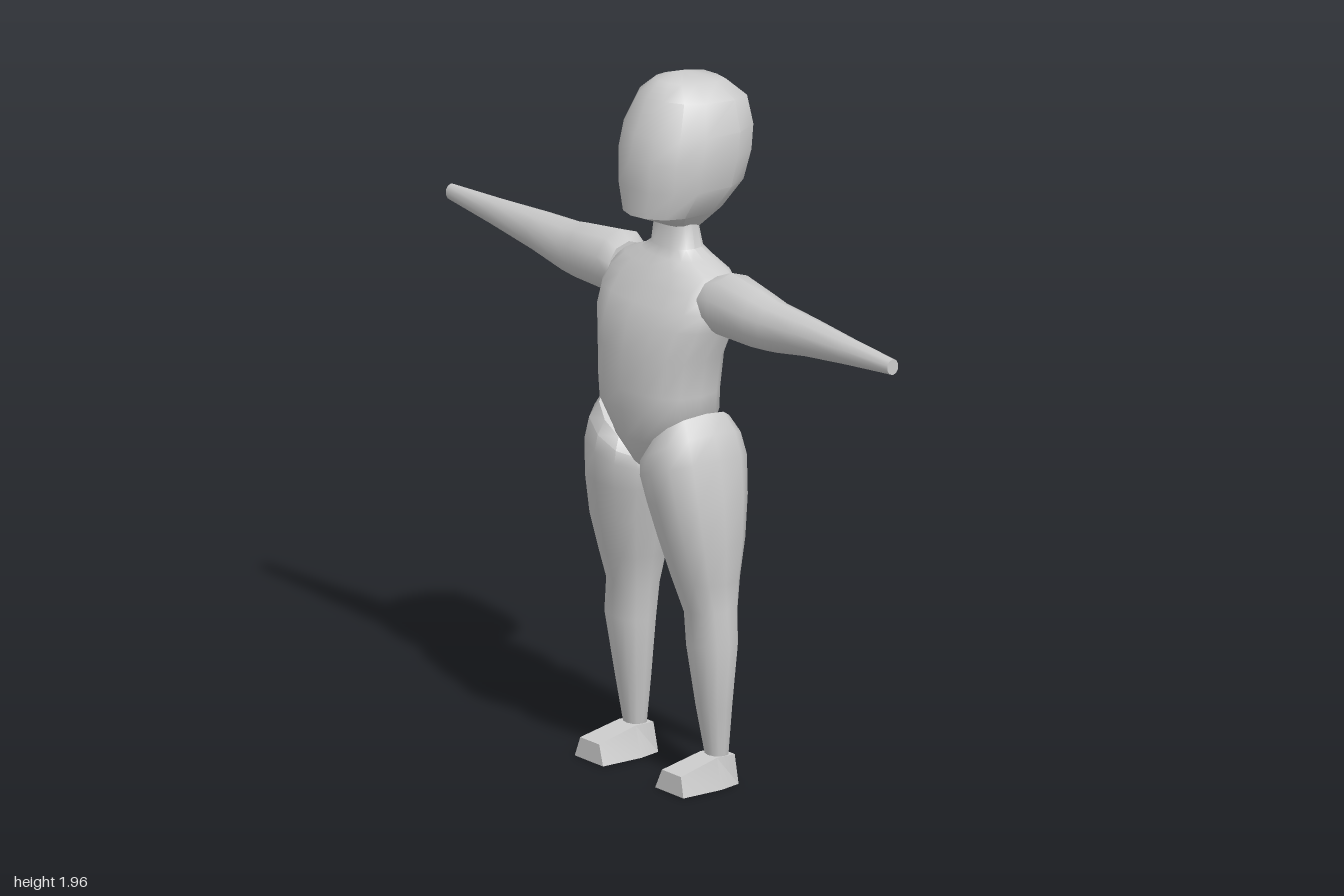
import * as THREE from 'three';
import { toCreasedNormals } from 'three/addons/utils/BufferGeometryUtils.js';

const skin = new THREE.MeshStandardMaterial({ color: 0xcccccc });
skin.name = 'plain grey';

// Skin a stack of closed rings and cap both ends.
function loft(rings, crease = 0.7) {
  const pos = [], idx = [], n = rings[0].length;
  rings.forEach(r => r.forEach(p => pos.push(...p)));
  for (let k = 0; k < rings.length - 1; k++) {
    for (let i = 0; i < n; i++) {
      const a = k * n + i, b = k * n + (i + 1) % n;
      idx.push(a, b, b + n, a, b + n, a + n);
    }
  }
  const cap = (k, top) => {
    const c = pos.length / 3;
    pos.push(...[0, 1, 2].map(j => rings[k].reduce((s, p) => s + p[j], 0) / n));
    for (let i = 0; i < n; i++) {
      const a = k * n + i, b = k * n + (i + 1) % n;
      idx.push(c, top ? a : b, top ? b : a);
    }
  };
  cap(0, false);
  cap(rings.length - 1, true);
  const g = new THREE.BufferGeometry();
  g.setAttribute('position', new THREE.Float32BufferAttribute(pos, 3));
  g.setIndex(idx);
  return toCreasedNormals(g, crease);
}

const mirror = rings => rings.map(r => r.map(([x, y, z]) => [-x, y, z]).reverse());
const power = (v, e) => Math.sign(v) * Math.abs(v) ** e;

// Oval ring from x0 to x1, its height running from y0 to y1 across the width.
function oval(n, e, [x0, x1, y0, y1, zf, zb]) {
  return Array.from({ length: n }, (_, i) => {
    const t = i / n * Math.PI * 2, u = power(Math.sin(t), e), v = power(Math.cos(t), e);
    return [(x0 + x1) / 2 + u * (x1 - x0) / 2, (y0 + y1) / 2 + u * (y1 - y0) / 2,
      (zf + zb) / 2 + v * (zf - zb) / 2];
  });
}

// Head ring: rounded face, straight sides, flatter back; front and back heights differ.
const headPlan = [[0, 1], [0.45, 0.95], [0.82, 0.82], [1, 0.62], [1, 0.27], [0.72, 0.04],
  [0, 0], [-0.72, 0.04], [-1, 0.27], [-1, 0.62], [-0.82, 0.82], [-0.45, 0.95]];
const headRing = ([w, yf, zf, yb, zb]) =>
  headPlan.map(([u, v]) => [u * w, yb + (yf - yb) * v, zb + (zf - zb) * v]);

export function createModel() {
  const model = new THREE.Group();
  model.name = 'figure';
  const add = (name, geometry) => {
    const mesh = new THREE.Mesh(geometry, skin);
    mesh.name = name;
    model.add(mesh);
  };
  const addPair = (name, rings, crease) => {
    add('left' + name, loft(rings, crease));
    add('right' + name, loft(mirror(rings), crease));
  };

  // Head: half width, front height and depth, back height and depth
  add('head', loft([
    [0.06, 1.545, 0.06, 1.53, -0.05],
    [0.115, 1.583, 0.155, 1.585, -0.1],
    [0.153, 1.66, 0.16, 1.66, -0.155],
    [0.158, 1.74, 0.16, 1.74, -0.18],
    [0.156, 1.81, 0.142, 1.81, -0.187],
    [0.122, 1.905, 0.1, 1.885, -0.182],
    [0.07, 1.945, 0.06, 1.93, -0.135],
    [0.01, 1.96, 0, 1.957, -0.04],
  ].map(headRing), 0.65));

  // Torso with neck: half width, height, front, back
  add('torso', loft([
    [0.012, 0.82, 0.06, -0.03],
    [0.05, 0.88, 0.13, -0.06],
    [0.125, 0.96, 0.17, -0.075],
    [0.185, 1.04, 0.186, -0.07],
    [0.19, 1.1, 0.188, -0.07],
    [0.2, 1.2, 0.185, -0.078],
    [0.235, 1.29, 0.168, -0.098],
    [0.245, 1.34, 0.145, -0.104],
    [0.235, 1.39, 0.115, -0.102],
    [0.19, 1.43, 0.09, -0.092],
    [0.12, 1.455, 0.07, -0.075],
    [0.08, 1.48, 0.055, -0.057],
    [0.07, 1.56, 0.045, -0.04],
  ].map(([w, y, zf, zb]) => oval(16, 0.8, [-w, w, y, y, zf, zb])), 0.9));

  // Arms: x, bottom, top, front, back
  addPair('Arm', [
    [0.2, 1.29, 1.435, 0.085, -0.06],
    [0.25, 1.275, 1.455, 0.09, -0.088],
    [0.4, 1.277, 1.437, 0.078, -0.066],
    [0.46, 1.283, 1.428, 0.073, -0.057],
    [0.6, 1.308, 1.422, 0.064, -0.042],
    [0.8, 1.333, 1.41, 0.048, -0.02],
    [1, 1.355, 1.4, 0.035, -0.003],
  ].map(([x, y0, y1, zf, zb]) => Array.from({ length: 10 }, (_, i) => {
    const t = i / 10 * Math.PI * 2;
    return [x, (y0 + y1) / 2 + Math.cos(t) * (y1 - y0) / 2, (zf + zb) / 2 + Math.sin(t) * (zf - zb) / 2];
  })), 0.8);

  // Legs: inner x, outer x, inner height, outer height, front, back
  addPair('Leg', [
    [0.152, 0.218, 0.07, 0.07, 0.03, -0.025],
    [0.128, 0.238, 0.22, 0.22, 0.055, -0.033],
    [0.105, 0.265, 0.39, 0.4, 0.08, -0.042],
    [0.1, 0.252, 0.48, 0.5, 0.083, -0.05],
    [0.073, 0.257, 0.58, 0.58, 0.112, -0.062],
    [0.045, 0.267, 0.69, 0.69, 0.145, -0.082],
    [0.018, 0.262, 0.79, 0.81, 0.17, -0.1],
    [0.004, 0.246, 0.85, 0.93, 0.184, -0.11],
    [0.006, 0.225, 0.88, 1.0, 0.18, -0.1],
    [0.03, 0.19, 0.91, 1.05, 0.16, -0.075],
  ].map(r => oval(12, 0.85, r)), 0.8);

  // Feet: wedge from heel to toe, each ring being inner x, outer x, bottom, top, z
  addPair('Foot', [
    [0.138, 0.226, 0.146, 0.222, 0.085, -0.04, -0.03],
    [0.12, 0.244, 0.146, 0.222, 0.085, 0.03, 0.03],
    [0.118, 0.246, 0.142, 0.228, 0.055, 0.16, 0.155],
  ].map(([b0, b1, t0, t1, y, zb, zt]) =>
    [[b0, 0, zb], [b1, 0, zb], [t1, y, zt], [t0, y, zt]]), 0.3);

  return model;
}
